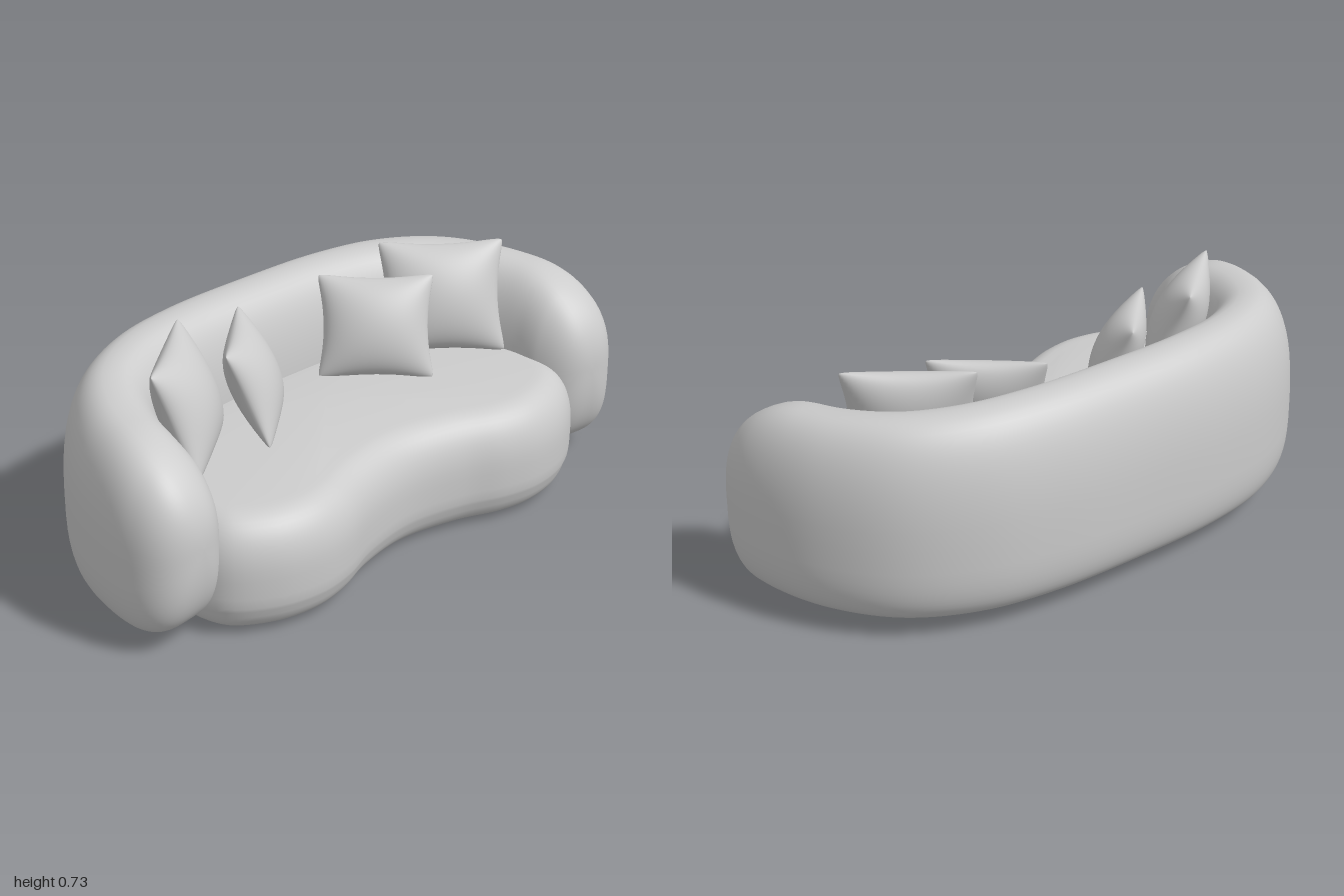
import * as THREE from 'three';
import { mergeGeometries, mergeVertices } from 'three/addons/utils/BufferGeometryUtils.js';

const material = new THREE.MeshStandardMaterial({ color: 0xcccccc });
const V = (x, y, z) => new THREE.Vector3(x, y, z);

// Smooth skin through a list of closed loops with equal point counts
function loft(loops) {
  const n = loops[0].length, index = [];
  for (let i = 0; i < loops.length - 1; i++) {
    for (let j = 0; j < n; j++) {
      const a = i * n + j, b = i * n + (j + 1) % n;
      index.push(a, b, b + n, a, b + n, a + n);
    }
  }
  const g = new THREE.BufferGeometry().setFromPoints(loops.flat());
  g.setIndex(index);
  g.computeVertexNormals();
  return g;
}

// Closed or open curve on the floor plane, mirrored from its +x half
function mirroredCurve(half, closed) {
  const right = half.map(([x, z]) => V(x, 0, z));
  const left = half.filter(([x]) => x > 0).map(([x, z]) => V(-x, 0, z)).reverse();
  const points = closed ? [...right, ...left] : [...left, ...right];
  return new THREE.CatmullRomCurve3(points, closed, 'centripetal');
}

const signedPow = (v, p) => Math.sign(v) * Math.abs(v) ** p;

// Rounded end: 0 at the tip, 1 once past the given length
function endScale(d, length, n = 2.3) {
  const u = Math.max(0, 1 - d / length);
  return Math.max(0, 1 - u ** n) ** (1 / n);
}

// Wraparound back and arms: a plump section swept along a U path
function backrestGeometry() {
  const path = mirroredCurve([[0, -0.34], [0.3, -0.33], [0.52, -0.285], [0.69, -0.185],
    [0.795, -0.03], [0.84, 0.13], [0.845, 0.25], [0.83, 0.38]], false);
  path.arcLengthDivisions = 800;
  const length = path.getLength(), rings = 130, sides = 56, midY = 0.31, loops = [];
  for (let i = 0; i <= rings; i++) {
    const s = i / rings;
    const u = 0.5 - 0.5 * Math.cos(Math.PI * s); // denser towards the tips
    const p = path.getPointAt(u), t = path.getTangentAt(u);
    const d = Math.min(u, 1 - u) * length;
    const half = (0.15 + 0.01 * THREE.MathUtils.smoothstep(p.z, -0.3, 0.1)) * endScale(d, 0.2);
    const up = (0.655 - 0.1 * p.z - midY) * endScale(d, 0.3);
    const down = (midY - 0.048) * endScale(d, 0.18, 2.5);
    const lift = 0.04 * (1 - endScale(d, 0.2));
    const loop = [];
    for (let j = 0; j < sides; j++) {
      const a = (j / sides) * Math.PI * 2, c = Math.cos(a), sn = Math.sin(a);
      const e = 2 / (sn > 0 ? 2.4 : 3.5);
      const w = half * signedPow(c, e);
      const h = (sn > 0 ? up : down) * signedPow(sn, e);
      loop.push(V(p.x + t.z * w, midY + lift + h, p.z - t.x * w));
    }
    loops.push(loop);
  }
  return loft(loops);
}

// Kidney-shaped seat: its outline inset by a rounded edge profile
function seatGeometry() {
  const outline = mirroredCurve([[0, 0.38], [0.2, 0.415], [0.34, 0.468], [0.47, 0.487], [0.62, 0.455],
    [0.75, 0.36], [0.79, 0.2], [0.755, 0.02], [0.65, -0.16], [0.46, -0.29], [0.22, -0.345], [0, -0.355]], true);
  const n = 140, base = [];
  for (let j = 0; j < n; j++) {
    const t = outline.getTangentAt(j / n);
    base.push({ p: outline.getPointAt(j / n), out: V(-t.z, 0, t.x) });
  }
  const ring = (inset, y, k = 1) => base.map(({ p, out }) => {
    const q = p.clone().addScaledVector(out, -inset);
    const z = q.z * k;
    const tilt = y < 0.1 ? 0.015 * (z + 0.3) : -0.02 * z * Math.min(1, y / 0.4);
    return V(q.x * k, y + tilt, z);
  });
  const loops = [], inner = [0, 0.25, 0.5, 0.75, 0.92];
  inner.forEach((k) => loops.push(ring(0.1, 0.002, k)));
  for (let i = 0; i <= 10; i++) { // underside edge
    const a = (i / 10) * Math.PI / 2;
    loops.push(ring(0.1 * (1 - Math.sin(a) ** 0.8), 0.2 - 0.198 * Math.cos(a) ** 0.65));
  }
  for (let i = 1; i <= 12; i++) { // upper edge
    const a = (i / 12) * Math.PI / 2;
    loops.push(ring(0.13 * (1 - Math.cos(a) ** 0.85), 0.2 + 0.19 * Math.sin(a) ** 0.85));
  }
  inner.reverse().forEach((k) => loops.push(ring(0.13, 0.39 + 0.012 * (1 - k * k), k)));
  return loft(loops);
}

// Throw pillow: two puffed faces with pinched sides and pointed corners
function pillowGeometry(width, height, thickness) {
  const face = (sign) => {
    const g = new THREE.PlaneGeometry(2, 2, 28, 28), pos = g.attributes.position;
    for (let i = 0; i < pos.count; i++) {
      const u = Math.sin(pos.getX(i) * Math.PI / 2), v = Math.sin(pos.getY(i) * Math.PI / 2);
      const puff = Math.max(0, (1 - u * u) * (1 - v * v)) ** 0.55;
      const round = 1 - 0.05 * (u * v) ** 8;
      pos.setXYZ(i, sign * width / 2 * u * round * (1 - 0.13 * (1 - v * v)),
        height / 2 * v * round * (1 - 0.1 * (1 - u * u)), sign * thickness / 2 * puff);
    }
    g.deleteAttribute('uv');
    g.deleteAttribute('normal');
    return g;
  };
  const g = mergeVertices(mergeGeometries([face(1), face(-1)]), 1e-5);
  g.computeVertexNormals();
  return g;
}

export function createModel() {
  const model = new THREE.Group();
  model.name = 'sofa';
  const add = (name, geometry) => {
    const mesh = new THREE.Mesh(geometry, material);
    mesh.name = name;
    model.add(mesh);
    return mesh;
  };

  add('backrestAndArms', backrestGeometry());
  add('seat', seatGeometry());

  // Two pillows on each side, turned towards the middle and leaning back
  const pillows = [
    { name: 'OuterPillow', size: [0.42, 0.375, 0.17], at: [0.54, 0.567, -0.025], yaw: 0.68, lean: 0.36 },
    { name: 'InnerPillow', size: [0.38, 0.34, 0.15], at: [0.26, 0.543, -0.045], yaw: 0.75, lean: 0.4 },
  ];
  for (const { name, size, at, yaw, lean } of pillows) {
    const geometry = pillowGeometry(...size);
    for (const side of [1, -1]) {
      const mesh = add((side > 0 ? 'left' : 'right') + name, geometry);
      mesh.position.set(side * at[0], at[1], at[2]);
      mesh.rotation.set(-lean, -side * yaw, 0, 'YXZ');
    }
  }
  return model;
}
